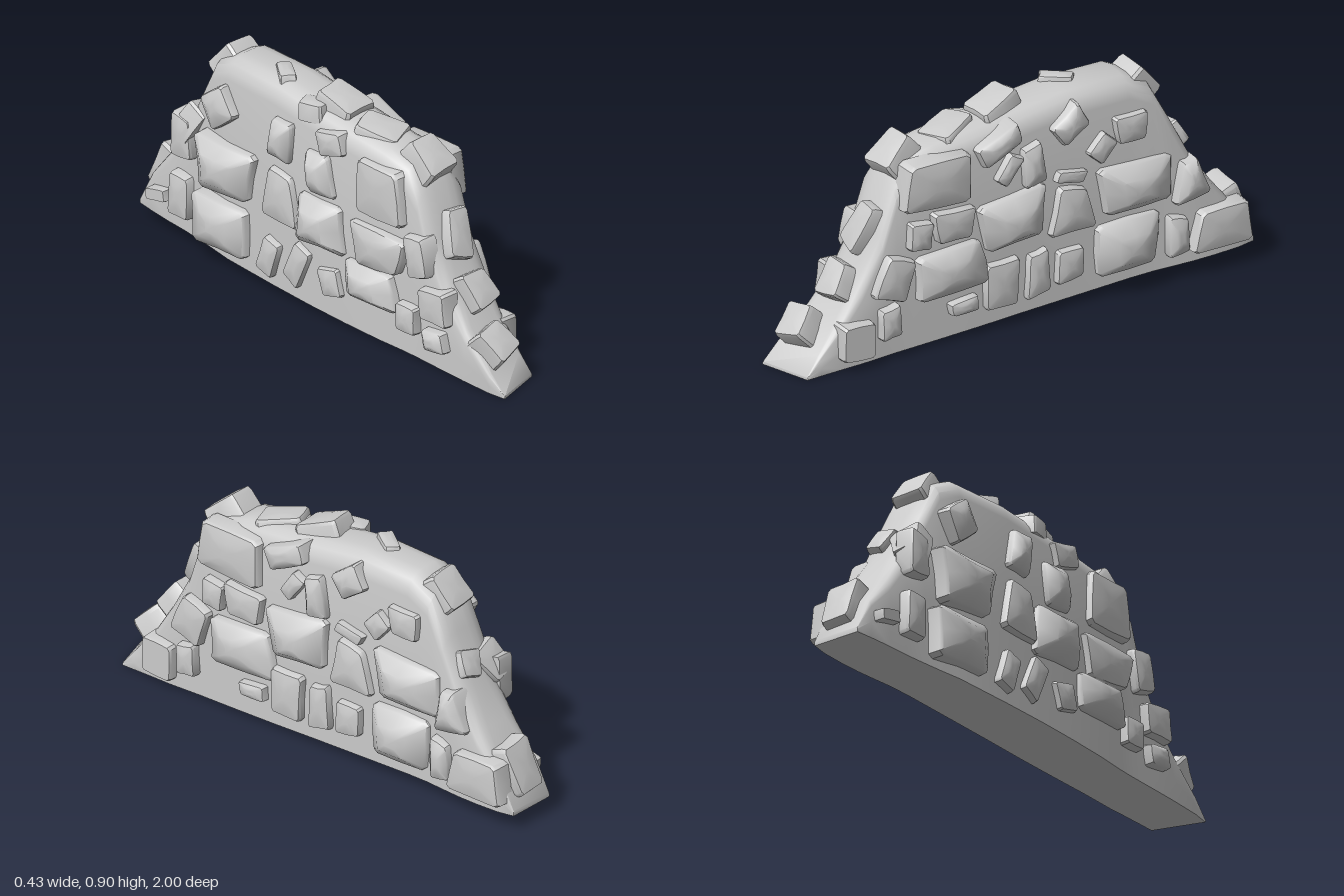
import * as THREE from 'three';
import { toCreasedNormals } from 'three/addons/utils/BufferGeometryUtils.js';

const material = new THREE.MeshStandardMaterial({ color: 0xcccccc });

// Seeded noise in -1..1
let seed = 7;
const jitter = () => {
  seed = (seed * 16807) % 2147483647;
  return (seed / 2147483647) * 2 - 1;
};

// Joins equal counter-clockwise rings, ordered towards +z, into a closed skin
function skin(rings, crease) {
  const n = rings[0].length;
  const position = rings.flat().flatMap((p) => [p.x, p.y, p.z]);
  const index = [];
  for (let r = 0; r < rings.length - 1; r++) {
    for (let i = 0; i < n; i++) {
      const a = r * n + i, b = r * n + ((i + 1) % n);
      index.push(a, b, b + n, a, b + n, a + n);
    }
  }
  // Flat fans over the first and last ring
  const last = (rings.length - 1) * n;
  for (let i = 1; i < n - 1; i++) {
    index.push(0, i + 1, i, last, last + i, last + i + 1);
  }
  const g = new THREE.BufferGeometry();
  g.setAttribute('position', new THREE.Float32BufferAttribute(position, 3));
  g.setIndex(index);
  return toCreasedNormals(g, crease);
}

// Rubble core, back to front: z, top height, half width, centre x of each section
const sections = [
  [-0.99, 0.08, 0.1, 0.045], [-0.92, 0.22, 0.11, 0.045], [-0.82, 0.35, 0.115, 0.04],
  [-0.73, 0.49, 0.115, 0.035], [-0.64, 0.67, 0.115, 0.025], [-0.56, 0.82, 0.115, 0.015],
  [-0.46, 0.865, 0.12, 0.005], [-0.2, 0.865, 0.125, -0.003], [0, 0.84, 0.127, -0.007],
  [0.18, 0.82, 0.127, -0.007], [0.36, 0.8, 0.123, -0.006], [0.48, 0.77, 0.117, -0.003],
  [0.55, 0.69, 0.115, -0.003], [0.61, 0.51, 0.115, -0.003], [0.7, 0.34, 0.115, -0.003],
  [0.8, 0.21, 0.112, -0.005], [0.93, 0.08, 0.107, -0.005], [1, 0.012, 0.1, 0],
];

const floorAt = (z) => 0.03 - 0.03 * z;

function centreAt(z) {
  return z > -0.45 ? 0 : Math.min(0.045, (-z - 0.45) * 0.12);
}

function coreGeometry() {
  const rings = sections.map(([z, top, half, cx]) => {
    const y0 = floorAt(z);
    const r = Math.min(0.085, (top - y0) * 0.22);
    const slant = Math.max(0, z - 0.7) * 1.1;
    const ring = [];
    const add = (x, y) => ring.push(new THREE.Vector3(cx + x, y, z - (x + half) * slant));
    add(-half, y0);
    add(half, y0);
    add(half * 1.02, y0 + (top - y0) * 0.4);
    // Rounded shoulders
    for (let k = 0; k <= 4; k++) {
      const a = (k / 4) * Math.PI / 2;
      add(half - r + r * Math.cos(a), top - r + r * Math.sin(a));
    }
    for (let k = 0; k <= 4; k++) {
      const a = (1 + k / 4) * Math.PI / 2;
      add(-half + r + r * Math.cos(a), top - r + r * Math.sin(a));
    }
    add(-half * 1.02, y0 + (top - y0) * 0.4);
    return ring;
  });
  return skin(rings, 0.7);
}

// Irregular four-sided stone facing +z, with cut corners, a soft rim and a domed face
function stoneGeometry(w, h, depth, taper, bulge) {
  const corners = [[-1, -1], [1, -1], [1, 1], [-1, 1]].map(([sx, sy]) => new THREE.Vector2(
    sx * w / 2 * (1 - sy * taper) + jitter() * w * 0.07,
    sy * h / 2 + jitter() * h * 0.08,
  ));
  const outline = [];
  corners.forEach((c, i) => {
    const before = corners[(i + 3) % 4], after = corners[(i + 1) % 4];
    outline.push(c.clone().lerp(before, 0.07), c.clone().lerp(after, 0.07));
    outline.push(c.clone().lerp(after, 0.5).multiplyScalar(1 + jitter() * 0.05));
  });
  const ring = (s, z) => outline.map((p) => new THREE.Vector3(p.x * s, p.y * s, z));
  return skin([
    ring(1.03, -0.04), ring(1, depth * 0.7), ring(0.94, depth),
    ring(0.5, depth + bulge * 0.85), ring(0.2, depth + bulge),
  ], 0.65);
}

function addStone(parent, name, geometry, position, rotation) {
  const mesh = new THREE.Mesh(geometry, material);
  mesh.name = name;
  mesh.position.set(...position);
  mesh.rotation.set(...rotation, 'YXZ');
  parent.add(mesh);
}

// Face stones by course: z, y, width, height, tilt, taper, bulge
const leftCourses = {
  upperCourse: [
    [0.38, 0.67, 0.27, 0.19, 0, 0.06, 0.015], [0.12, 0.755, 0.19, 0.09, 0.4, 0, 0.02],
    [0.08, 0.645, 0.06, 0.12, -0.65, 0, 0.01], [-0.03, 0.635, 0.08, 0.16, 0.1, 0.1, 0.02],
    [-0.19, 0.755, 0.14, 0.1, 0.55, 0, 0.02], [-0.33, 0.625, 0.08, 0.1, -0.7, 0, 0.01],
    [-0.455, 0.675, 0.13, 0.11, 0, -0.08, 0.01], [-0.195, 0.545, 0.12, 0.045, -0.2, 0, 0.005],
  ],
  middleCourse: [
    [0.465, 0.475, 0.09, 0.12, -0.15, 0, 0.01], [0.32, 0.485, 0.16, 0.12, 0, -0.1, 0.01],
    [0.05, 0.425, 0.29, 0.2, 0.08, -0.08, 0.05], [-0.205, 0.4, 0.15, 0.19, 0, 0.28, 0.015],
    [-0.47, 0.425, 0.29, 0.2, 0, -0.03, 0.05], [0.575, 0.33, 0.14, 0.17, -0.35, 0.1, 0.01],
    [0.335, 0.3, 0.28, 0.19, 0.1, 0.06, 0.04], [-0.7, 0.405, 0.11, 0.16, 0.1, 0.4, 0.03],
  ],
  lowerCourse: [
    [0.73, 0.115, 0.13, 0.14, 0, 0.04, 0], [0.595, 0.16, 0.08, 0.12, 0, 0.08, 0.01],
    [0.27, 0.14, 0.12, 0.055, 0.08, 0, 0.01], [0.105, 0.18, 0.14, 0.17, 0, 0.02, 0.01],
    [-0.05, 0.19, 0.095, 0.18, 0.05, 0.08, 0.01], [-0.19, 0.18, 0.11, 0.12, 0, 0.05, 0.01],
    [-0.44, 0.195, 0.26, 0.2, 0, -0.07, 0.055], [-0.65, 0.18, 0.08, 0.16, 0, 0, 0.02],
    [-0.83, 0.18, 0.22, 0.15, 0, 0.12, 0.01],
  ],
};
const rightCourses = {
  upperCourse: [
    [0.37, 0.64, 0.23, 0.22, 0, 0.08, 0.01], [0.12, 0.745, 0.14, 0.1, 0.2, 0, 0.01],
    [0.06, 0.6, 0.13, 0.17, 0.2, 0.1, 0.04], [-0.15, 0.66, 0.11, 0.17, -0.15, 0.1, 0.03],
    [-0.49, 0.67, 0.14, 0.14, 0.6, 0, 0.02],
  ],
  middleCourse: [
    [0.57, 0.44, 0.1, 0.15, 0.2, 0, 0.01], [0.37, 0.4, 0.25, 0.17, 0, -0.06, 0.02],
    [0.07, 0.4, 0.24, 0.2, 0, 0.05, 0.06], [-0.15, 0.42, 0.15, 0.2, 0, 0.25, 0.015],
    [-0.45, 0.43, 0.3, 0.21, 0, -0.06, 0.05], [-0.7, 0.46, 0.1, 0.17, 0, 0.1, 0.01],
    [0.66, 0.27, 0.13, 0.13, 0.15, 0, 0.005],
  ],
  lowerCourse: [
    [0.67, 0.13, 0.1, 0.08, 0.2, 0, 0.02], [0.52, 0.17, 0.1, 0.12, 0, 0, 0.01],
    [0.33, 0.24, 0.25, 0.16, 0, 0.05, 0.05], [0.12, 0.17, 0.11, 0.11, 0.3, 0, 0.01],
    [-0.06, 0.18, 0.09, 0.17, -0.4, 0, 0.01], [-0.21, 0.16, 0.09, 0.14, -0.3, 0, 0.01],
    [-0.47, 0.19, 0.28, 0.19, 0, -0.06, 0.04], [-0.72, 0.21, 0.1, 0.16, 0, 0, 0.01],
    [-0.86, 0.16, 0.1, 0.05, 0.2, 0, 0],
  ],
};

function faceStones(courses, side, name) {
  const face = new THREE.Group();
  face.name = name;
  for (const [course, stones] of Object.entries(courses)) {
    const row = new THREE.Group();
    row.name = course;
    for (const [z, y, w, h, tilt, taper, bulge] of stones) {
      const geometry = stoneGeometry(w, h, 0.036, taper, bulge);
      const x = centreAt(z) + (side > 0 ? 0.115 : -0.12);
      addStone(row, 'faceStone', geometry, [x, y, z], [0, side * Math.PI / 2, tilt]);
    }
    face.add(row);
  }
  return face;
}

// Ridge stones: x, y, z, width, length, pitch of the outward side (degrees from +z), roll, height
const ridgeStones = [
  [-0.04, 0.15, 0.87, 0.13, 0.14, 45, 0.35, 0.055], [0, 0.31, 0.73, 0.12, 0.14, 35, 0.2, 0.05],
  [0, 0.51, 0.62, 0.1, 0.18, 25, -0.2, 0.04], [0, 0.755, 0.48, 0.14, 0.15, 50, 0.1, 0.06],
  [-0.01, 0.79, 0.25, 0.14, 0.17, 78, 0.4, 0.035], [-0.015, 0.83, 0.05, 0.13, 0.18, 70, 0.1, 0.045],
  [-0.03, 0.86, -0.24, 0.06, 0.12, 92, -0.6, 0.02], [0.01, 0.785, -0.55, 0.14, 0.14, 140, 0.1, 0.05],
  [-0.06, 0.51, -0.68, 0.12, 0.14, 150, 0.4, 0.05], [0.06, 0.55, -0.68, 0.1, 0.11, 150, -0.3, 0.04],
  [0.05, 0.2, -0.92, 0.14, 0.19, 157, 0.12, 0.05], [-0.09, 0.82, -0.02, 0.09, 0.11, 92, 0.3, 0.03],
];

export function createModel() {
  const wall = new THREE.Group();
  wall.name = 'ruinedStoneWall';

  const core = new THREE.Mesh(coreGeometry(), material);
  core.name = 'wallCore';
  wall.add(core);

  wall.add(faceStones(leftCourses, 1, 'leftFaceStones'));
  wall.add(faceStones(rightCourses, -1, 'rightFaceStones'));

  const ridge = new THREE.Group();
  ridge.name = 'ridgeStones';
  for (const [x, y, z, w, l, pitch, roll, height] of ridgeStones) {
    const geometry = stoneGeometry(w, l, height, 0.08, 0.006);
    addStone(ridge, 'ridgeStone', geometry, [x, y, z], [-pitch * Math.PI / 180, 0, roll]);
  }
  wall.add(ridge);
  return wall;
}
